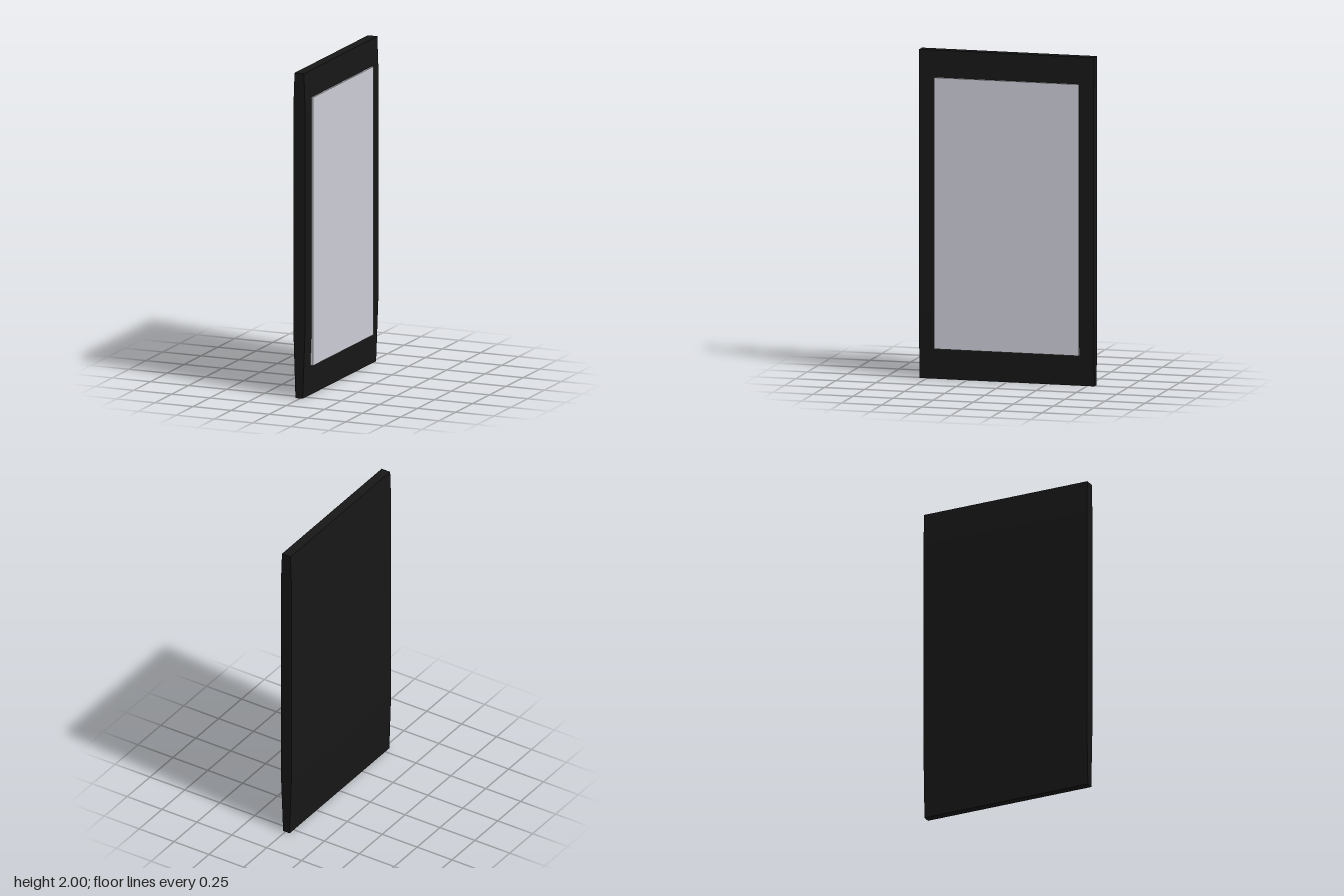
import * as THREE from 'three';

export function createModel() {
  const model = new THREE.Group();
  const bodyMaterial = new THREE.MeshStandardMaterial({ color: 0x171717, flatShading: true });
  const screenMaterial = new THREE.MeshStandardMaterial({ color: 0xcccdd6, flatShading: true });

  // Slab body: side profile tapering towards both ends, extruded across the width
  const profile = [
    [-0.03, 0], [0.017, 0], [0.033, 0.42], [0.033, 1.78],
    [0.025, 2], [-0.036, 2], [-0.043, 1.8], [-0.043, 0.4],
  ].map(([x, y]) => new THREE.Vector2(x, y));
  const width = 1.09;
  const bodyGeometry = new THREE.ExtrudeGeometry(new THREE.Shape(profile), {
    depth: width, bevelEnabled: false,
  });
  bodyGeometry.translate(0, 0, -width / 2);
  const body = new THREE.Mesh(bodyGeometry, bodyMaterial);
  body.name = 'body';
  model.add(body);

  // Thin raised screen panel on the +x face, its back sunk into the body
  const screen = new THREE.Mesh(new THREE.BoxGeometry(0.017, 1.65, 0.9), screenMaterial);
  screen.name = 'screen';
  screen.position.set(0.0335, 1.01, -0.003);
  model.add(screen);

  return model;
}
